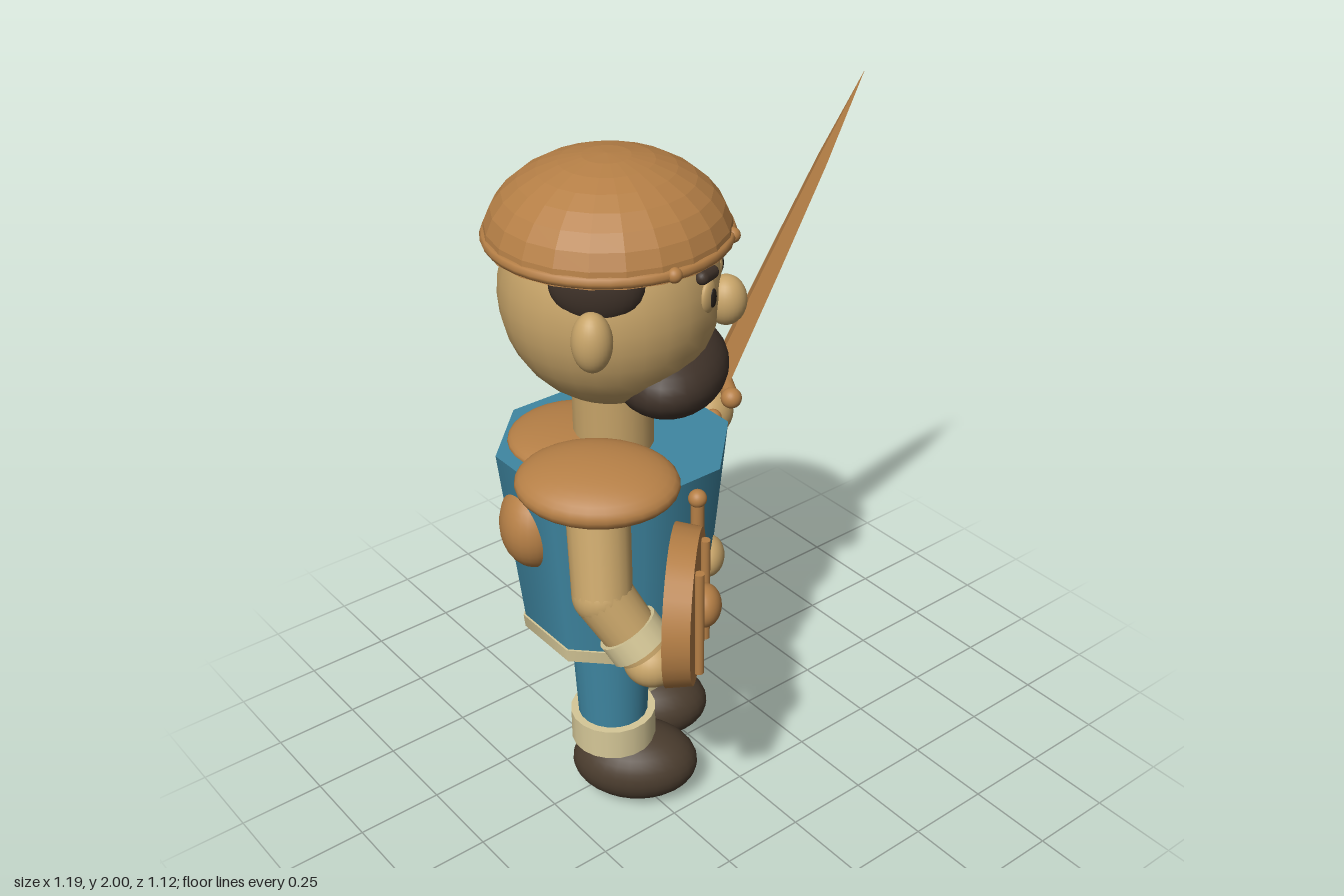
import * as THREE from 'three';

const mat = (name, color) => {
  const m = new THREE.MeshStandardMaterial({ color });
  m.name = name;
  return m;
};
const V = (x, y, z) => new THREE.Vector3(x, y, z);

export function createModel() {
  const leather = mat('leather brown', 0xb57f46);
  const skin = mat('skin tan', 0xc6a368);
  const cloth = mat('tunic blue', 0x3f87a2);
  const trim = mat('trim cream', 0xd6c898);
  const boot = mat('boot dark brown', 0x4a3c2e);
  const hair = mat('hair dark brown', 0x40332a);
  const pupil = mat('pupil black', 0x26201b);
  const facetLeather = mat('facet brown', 0xb57f46);
  facetLeather.flatShading = true;

  const model = new THREE.Group();
  model.name = 'warrior';
  // The figure is turned so that it looks between +x and +z
  const body = new THREE.Group();
  body.name = 'figure';
  body.position.set(-0.21, 0, -0.057);
  body.rotation.y = Math.PI / 4;
  model.add(body);

  const add = (name, geo, m, pos = [0, 0, 0], parent = body) => {
    const mesh = new THREE.Mesh(geo, m);
    mesh.name = name;
    mesh.position.set(...pos);
    parent.add(mesh);
    return mesh;
  };
  const blob = (name, m, pos, r, parent) => {
    const mesh = add(name, new THREE.SphereGeometry(1, 28, 18), m, pos, parent);
    mesh.scale.set(...r);
    return mesh;
  };
  // Tapered rod from p to q
  const rod = (name, m, p, q, r0, r1 = r0, parent = body) => {
    const a = V(...p), b = V(...q), d = b.clone().sub(a);
    const mesh = add(name, new THREE.CylinderGeometry(r1, r0, d.length(), 20), m,
      a.clone().add(b).multiplyScalar(0.5).toArray(), parent);
    mesh.quaternion.setFromUnitVectors(V(0, 1, 0), d.normalize());
    return mesh;
  };

  // Tunic, hem, neck and collar
  add('tunic', new THREE.CylinderGeometry(0.325, 0.268, 0.55, 8, 1, false, Math.PI / 8), cloth, [0, 0.845, 0]);
  add('hem', new THREE.CylinderGeometry(0.276, 0.272, 0.04, 8, 1, false, Math.PI / 8), trim, [0, 0.565, 0]);
  rod('neck', skin, [0, 1.08, 0], [0, 1.36, 0], 0.11);
  blob('collar', leather, [0, 1.12, -0.1], [0.19, 0.045, 0.19]);
  blob('buckle', skin, [0, 0.755, 0.26], [0.065, 0.057, 0.045]);

  // Head and face
  blob('head', skin, [0, 1.575, 0], [0.29, 0.305, 0.29]);
  blob('nose', skin, [0, 1.555, 0.3], [0.054, 0.068, 0.055]);
  blob('beard', hair, [0, 1.358, 0.155], [0.218, 0.112, 0.155]);

  // Helmet with rim and rivets
  const dome = add('helmet', new THREE.SphereGeometry(1, 22, 8, 0, Math.PI * 2, 0, Math.PI / 2), facetLeather, [0, 1.72, 0]);
  dome.scale.set(0.32, 0.22, 0.32);
  add('helmetUnderside', new THREE.CircleGeometry(0.32, 22).rotateX(Math.PI / 2), leather, [0, 1.721, 0]);
  add('helmetRim', new THREE.TorusGeometry(0.308, 0.017, 8, 40).rotateX(Math.PI / 2), leather, [0, 1.735, 0]);
  for (const t of [-0.9, 0, 0.9])
    blob('rivet', leather, [Math.sin(t) * 0.315, 1.735, Math.cos(t) * 0.315], [0.02, 0.02, 0.02]);

  // Mirrored parts
  for (const s of [-1, 1]) {
    blob('ear', skin, [s * 0.3, 1.57, 0], [0.052, 0.08, 0.052]);
    blob('sideHair', hair, [s * 0.24, 1.7, 0.005], [0.06, 0.105, 0.12]);
    const eye = blob('eye', skin, [s * 0.104, 1.612, 0.264], [0.036, 0.045, 0.015]);
    eye.rotation.y = s * 0.38;
    const iris = blob('pupil', pupil, [s * 0.107, 1.61, 0.277], [0.015, 0.026, 0.006]);
    iris.rotation.y = s * 0.38;
    const brow = add('eyebrow', new THREE.CapsuleGeometry(0.019, 0.05, 6, 12), hair, [s * 0.1, 1.67, 0.26]);
    brow.rotation.set(0, s * 0.38, Math.PI / 2 + s * 0.1, 'YXZ');

    rod('leg', cloth, [s * 0.138, 0.25, 0], [s * 0.138, 0.57, 0], 0.097, 0.112);
    rod('legCuff', trim, [s * 0.138, 0.21, 0], [s * 0.138, 0.305, 0], 0.122);
    blob('boot', boot, [s * 0.138, 0.115, 0.061], [0.133, 0.11, 0.183]);

    const pad = blob('shoulderPad', leather, [s * 0.288, 1.16, 0], [0.165, 0.07, 0.215]);
    pad.rotation.z = -s * 0.12;
    blob('backPlate', leather, [s * 0.12, 0.92, -0.2], [0.125, 0.13, 0.1]);
    // Hanging strap with knobbed ends
    rod('strap', leather, [s * 0.21, 0.89, 0.25], [s * 0.21, 1.08, 0.25], 0.018);
    for (const y of [0.885, 1.08]) blob('strapKnob', leather, [s * 0.21, y, 0.25], [0.025, 0.025, 0.025]);
  }

  // Right arm, hanging behind the shield
  const rElbow = [-0.385, 0.88, 0.02], rWrist = [-0.4, 0.72, 0.13];
  rod('rightUpperArm', skin, [-0.3, 1.14, 0], rElbow, 0.085, 0.08);
  blob('rightElbow', skin, rElbow, [0.08, 0.08, 0.08]);
  rod('rightForearm', skin, rElbow, rWrist, 0.08, 0.072);
  rod('rightCuff', trim, [-0.394, 0.785, 0.085], [-0.399, 0.735, 0.12], 0.086);
  blob('rightHand', skin, [-0.395, 0.685, 0.15], [0.078, 0.07, 0.078]);

  // Shield with rails and boss
  const shield = new THREE.Group();
  shield.name = 'shield';
  shield.position.set(-0.408, 0.88, 0.238);
  body.add(shield);
  add('shieldDisc', new THREE.CylinderGeometry(0.205, 0.215, 0.07, 28).rotateX(Math.PI / 2), leather, [0, 0, 0], shield);
  for (const s of [-1, 1]) rod('shieldRail', leather, [s * 0.075, -0.155, 0.045], [s * 0.075, 0.155, 0.045], 0.013, 0.013, shield);
  blob('shieldBoss', leather, [0.005, 0, 0.05], [0.058, 0.058, 0.045], shield);

  // Left arm, bent forward to hold the sword
  const lElbow = [0.655, 1.1, 0.06], lWrist = [0.42, 1.025, 0.18];
  rod('leftUpperArm', skin, [0.288, 1.13, 0], [0.64, 1.12, 0.01], 0.08, 0.07);
  rod('leftForearm', skin, lElbow, lWrist, 0.08, 0.072);
  rod('leftCuff', trim, [0.45, 1.033, 0.166], [0.4, 1.018, 0.192], 0.083);
  blob('leftHand', skin, [0.37, 1.01, 0.215], [0.08, 0.08, 0.08]);

  // Sword: x runs along the guard, y along the blade
  const sword = new THREE.Group();
  sword.name = 'sword';
  const base = V(0.255, 1.12, -0.16), along = V(0.59, 2, 0.02).sub(base);
  const len = along.length();
  along.normalize();
  const cross = V(0.49, 0, -0.87);
  cross.addScaledVector(along, -cross.dot(along)).normalize();
  sword.position.copy(base);
  sword.quaternion.setFromRotationMatrix(
    new THREE.Matrix4().makeBasis(cross, along, cross.clone().cross(along)));
  model.add(sword);
  const profile = [[0, 0], [0.092, 0.01], [0.07, len * 0.4], [0.045, len * 0.72], [0, len]];
  const blade = add('blade', new THREE.LatheGeometry(profile.map(p => new THREE.Vector2(...p)), 4), facetLeather, [0, 0, 0], sword);
  blade.scale.z = 0.26;
  rod('guard', leather, [-0.15, 0, 0], [0.15, 0, 0], 0.023, 0.023, sword);
  for (const s of [-1, 1]) blob('guardKnob', leather, [s * 0.152, 0, 0], [0.03, 0.03, 0.03], sword);
  rod('grip', boot, [0, -0.21, 0], [0, 0, 0], 0.026, 0.026, sword);
  blob('pommel', leather, [0, -0.23, 0], [0.042, 0.042, 0.042], sword);

  return model;
}
